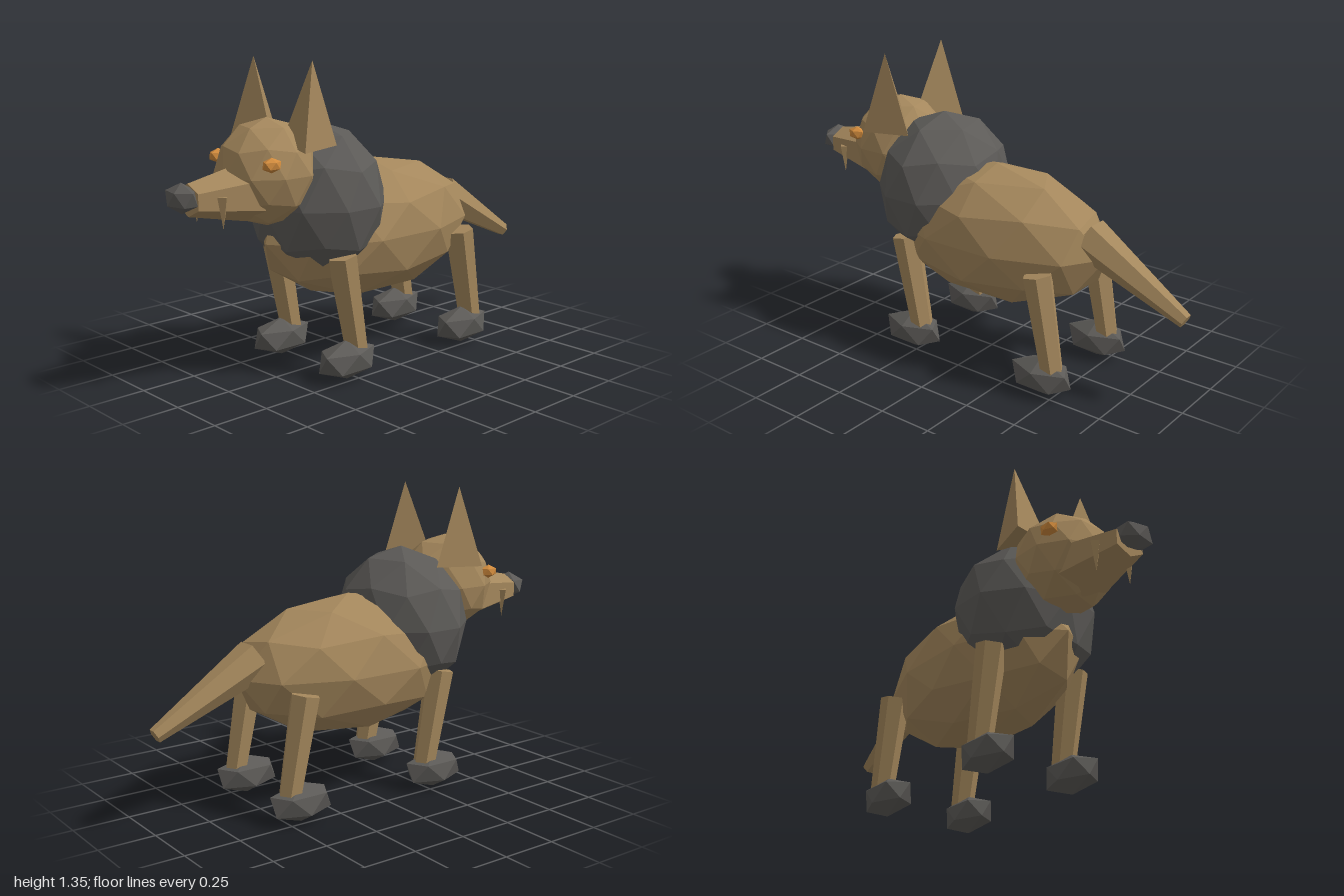
import * as THREE from 'three';

const paint = (name, color) => {
  const m = new THREE.MeshStandardMaterial({ color, flatShading: true });
  m.name = name;
  return m;
};

export function createModel() {
  const model = new THREE.Group();
  model.name = 'hyena';
  const tan = paint('tan fur', 0xa4875c);
  const grey = paint('dark grey fur', 0x5c5a57);
  const amber = paint('amber eye', 0xd08a3c);

  const add = (name, geometry, material) => {
    const mesh = new THREE.Mesh(geometry, material);
    mesh.name = name;
    model.add(mesh);
    return mesh;
  };

  // Faceted ball with a vertex at the top, stretched to the given radii
  const ball = (name, material, detail, center, radii) => {
    const g = new THREE.IcosahedronGeometry(1, detail);
    g.rotateZ(-Math.atan(2 / (1 + Math.sqrt(5))));
    g.scale(...radii);
    g.translate(...center);
    return add(name, g, material);
  };

  // Tapered six-sided limb between two points
  const UP = new THREE.Vector3(0, 1, 0);
  const limb = (name, from, to, r0, r1, turn = 0) => {
    const a = new THREE.Vector3(...from), b = new THREE.Vector3(...to);
    const axis = b.clone().sub(a);
    const g = new THREE.CylinderGeometry(r1, r0, axis.length(), 6);
    g.rotateY(turn);
    g.applyQuaternion(new THREE.Quaternion().setFromUnitVectors(UP, axis.normalize()));
    g.translate(...a.add(b).multiplyScalar(0.5).toArray());
    return add(name, g, tan);
  };

  // Trunk, mane and head
  ball('body', tan, 1, [0, 0.59, -0.03], [0.305, 0.31, 0.575]);
  ball('mane', grey, 1, [0, 0.745, 0.268], [0.325, 0.34, 0.29]);
  ball('head', tan, 1, [0, 0.895, 0.53], [0.215, 0.225, 0.22]);

  // Snout: six-sided taper with a ridge on top, flattened in height
  const snout = new THREE.CylinderGeometry(0.08, 0.15, 0.28, 6);
  snout.rotateX(Math.PI / 2);
  snout.rotateZ(Math.PI);
  snout.scale(1, 0.83, 1);
  snout.translate(0, 0.828, 0.78);
  add('snout', snout, tan);
  ball('nose', grey, 0, [0, 0.84, 0.95], [0.09, 0.062, 0.058]);

  // Tail
  limb('tail', [0, 0.67, -0.514], [0, 0.42, -0.985], 0.092, 0.033, Math.PI / 6);

  for (const [side, s] of [['left', 1], ['right', -1]]) {
    // Eye
    ball(side + 'Eye', amber, 0, [s * 0.177, 0.955, 0.645], [0.033, 0.031, 0.046]);

    // Three-sided ear, leaning slightly outward
    const ear = new THREE.ConeGeometry(0.13, 0.35, 3, 1, false, s * Math.PI / 4);
    ear.rotateZ(-s * 0.09);
    ear.translate(s * 0.174, 1.18, 0.443);
    add(side + 'Ear', ear, tan);

    // Fang hanging from the upper jaw
    const fang = new THREE.ConeGeometry(0.026, 0.13, 4);
    fang.rotateX(Math.PI);
    fang.translate(s * 0.09, 0.775, 0.82);
    add(side + 'Fang', fang, tan);

    // Legs lean back on the way down and end in paws
    for (const [end, z] of [['Front', 0.29], ['Hind', -0.435]]) {
      limb(side + end + 'Leg', [s * 0.22, 0.09, z - 0.06], [s * 0.22, 0.545, z + 0.028], 0.05, 0.066);
      ball(side + end + 'Paw', grey, 0, [s * 0.22, 0.087, z], [0.091, 0.087, 0.16]);
    }
  }
  return model;
}
